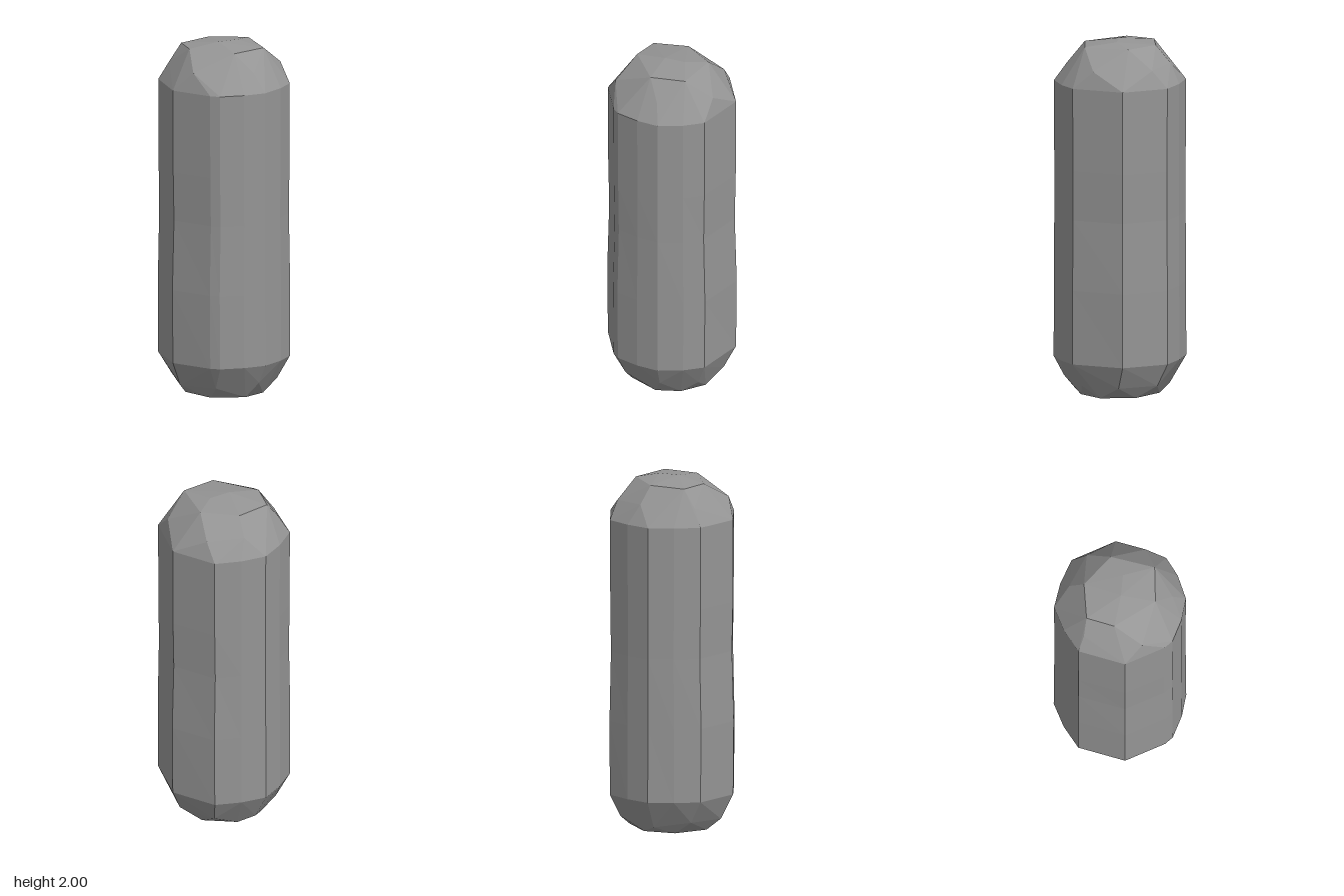
import * as THREE from 'three';
import { ConvexGeometry } from 'three/addons/geometries/ConvexGeometry.js';

// Uneven octagonal outline as [x, z], running from left (+x) towards the front
const OUTLINE = [
  [0.368, 0], [0.335, 0.125], [0.275, 0.25], [0.23, 0.285], [0, 0.37], [-0.255, 0.273],
  [-0.328, 0.14], [-0.373, 0], [-0.328, -0.14], [-0.255, -0.275], [0, -0.37], [0.275, -0.25],
  [0.332, -0.14],
];

// Body rings as [y, x scale, z scale], with a slight waist
const RINGS = [[0.2, 1, 0.99], [0.62, 0.995, 1], [1.02, 0.99, 0.97], [1.3, 0.99, 0.985], [1.77, 0.995, 0.99]];

const ringPoints = ([y, sx, sz]) => OUTLINE.map(([x, z]) => new THREE.Vector3(x * sx, y, z * sz));

// Side walls joining the rings
function wallGeometry() {
  const rings = RINGS.map(ringPoints);
  const n = OUTLINE.length;
  const points = [];
  for (let r = 0; r < rings.length - 1; r++) {
    for (let i = 0; i < n; i++) {
      const j = (i + 1) % n;
      const [a, b, c, d] = [rings[r][i], rings[r][j], rings[r + 1][j], rings[r + 1][i]];
      points.push(a, d, c, a, c, b);
    }
  }
  const geometry = new THREE.BufferGeometry().setFromPoints(points);
  geometry.computeVertexNormals();
  return geometry;
}

// Faceted end: a body ring closed over a few chiselled corner points
function endGeometry(ring, corners) {
  return new ConvexGeometry([...ringPoints(ring), ...corners.map((p) => new THREE.Vector3(...p))]);
}

export function createModel() {
  const group = new THREE.Group();
  group.name = 'facetedCapsule';
  const grey = new THREE.MeshStandardMaterial({ color: 0x959595, flatShading: true });
  grey.name = 'stone grey';

  const add = (name, geometry) => {
    const mesh = new THREE.Mesh(geometry, grey);
    mesh.name = name;
    group.add(mesh);
  };

  add('body', wallGeometry());

  // Domed top: crown corners, then shoulder corners
  add('topCap', endGeometry(RINGS[RINGS.length - 1], [
    [0, 2, 0.04], [0.02, 1.998, -0.08], [0.2, 1.98, -0.12], [0.19, 1.975, 0.08],
    [-0.05, 1.975, 0.21], [-0.2, 1.97, 0.15], [-0.2, 1.975, -0.05], [-0.04, 1.98, -0.2],
    [0.1, 1.88, 0.3], [-0.22, 1.87, 0.22], [-0.28, 1.88, -0.08], [-0.17, 1.87, -0.26],
    [0.16, 1.87, -0.27], [0.29, 1.87, 0.02],
  ]));

  // Rounded bottom: flat base corners, then lower shoulder corners
  add('bottomCap', endGeometry(RINGS[0], [
    [0.24, 0, 0.04], [0.13, 0, 0.2], [-0.06, 0, 0.23], [-0.21, 0, 0.1],
    [-0.22, 0, -0.08], [-0.08, 0, -0.22], [0.12, 0, -0.22], [0.22, 0, -0.1],
    [0.31, 0.09, 0], [0.2, 0.07, 0.22], [-0.02, 0.06, 0.3], [-0.22, 0.07, 0.2],
    [-0.28, 0.04, 0], [-0.2, 0.07, -0.23], [0.02, 0.07, -0.3], [0.22, 0.07, -0.2],
  ]));

  return group;
}
